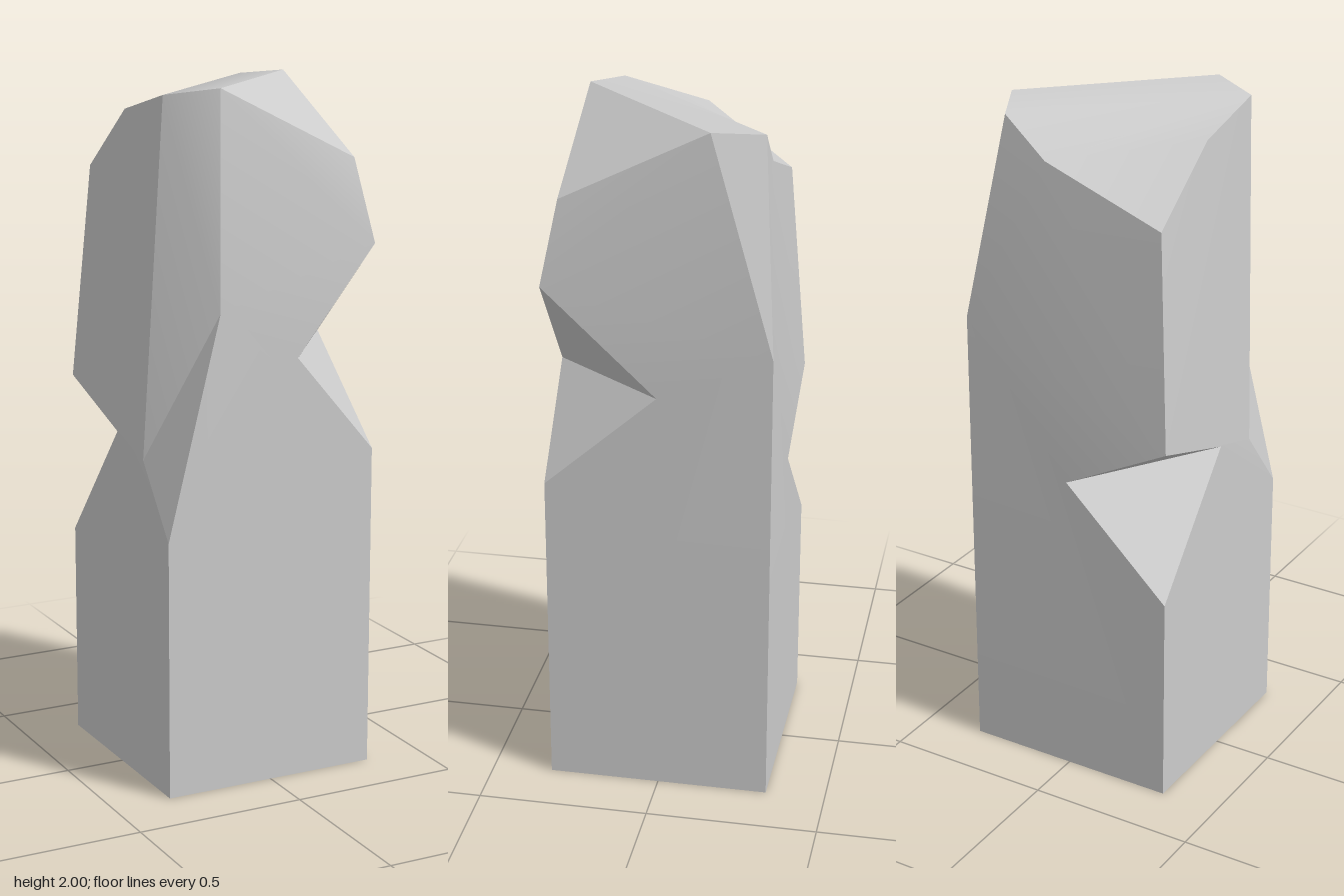
import * as THREE from 'three';
import { mergeVertices } from 'three/addons/utils/BufferGeometryUtils.js';

const W = 0.325; // half width of the post
const T = 0.28;  // half width of the tapered top

// Named corners of the cut post
const P = {
  // base
  b1: [W, 0, W], b2: [W, 0, -W], b3: [-W, 0, -W], b4: [-W, 0, W],
  // top outline
  A: [-0.14, 2, T], B: [T, 2, -0.14], C: [0.21, 1.982, -T], D: [0.085, 1.87, -T],
  E: [-T, 1.736, -T], F: [-T, 1.922, -0.036], G: [-T, 1.982, 0.21], S: [T, 1.79, T],
  // shoulders
  R: [W, 1.38, -W], K: [-0.163, 1.39, W], H: [-W, 0.957, 0.163], J: [-W, 0.755, W],
  // front corner notch
  n1: [W, 1.55, W], n2: [0.08, 1.243, W], n3: [W, 1.243, 0], n4: [W, 0.955, W],
  // back corner notch
  m1: [-W, 1.108, -W], m2: [0, 0.941, -W], m3: [-W, 1.004, -0.009], m4: [-W, 0.634, -W],
};

// name, outward direction, polygons (space separated corner names)
const FACES = [
  ['frontFace', [0, 0, 1], ['A S n1', 'A n1 K', 'n1 n2 n4 b1 b4 J K']],
  ['rightFace', [1, 0, 0], ['S n1 B', 'n1 R B', 'n1 n3 n4 b1 b2 R']],
  ['backFace', [0, 0, -1], ['E D m1', 'D R m1', 'D C R', 'R b2 b3 m4 m2 m1']],
  ['leftFace', [-1, 0, 0], ['E F m1', 'F G m1', 'G H m1', 'm1 m3 m4 b3 b4 J H']],
  ['topFace', [0, 1, 0], ['A B C', 'A C G', 'G C D', 'G D F', 'F D E']],
  ['topCornerCut', [1, 1, 1], ['A S B']],
  ['backCornerCut', [1, 0.3, -1], ['C B R']],
  ['sideChamfer', [-1, 0.2, 1], ['A K H G']],
  ['lowerChamfer', [-1, 0.5, 1], ['K J H']],
  ['frontNotchRoof', [0.3, -1, 0.3], ['n1 n2 n3']],
  ['frontNotchFloor', [0.3, 1, 0.3], ['n4 n2 n3']],
  ['backNotchRoof', [-0.3, -1, -0.3], ['m1 m2 m3']],
  ['backNotchFloor', [-0.3, 1, -0.3], ['m4 m2 m3']],
];

// Triangulates the polygons of one face, turned outward and smooth within the face
function faceGeometry(direction, polygons) {
  const n = new THREE.Vector3(...direction).normalize();
  const u = new THREE.Vector3(n.y, n.z, n.x).cross(n);
  if (u.lengthSq() < 1e-6) u.set(1, 0, 0).cross(n);
  if (u.lengthSq() < 1e-6) u.set(0, 1, 0).cross(n);
  u.normalize();
  const v = n.clone().cross(u);
  const positions = [];
  for (const polygon of polygons) {
    let pts = polygon.split(' ').map((k) => new THREE.Vector3(...P[k]));
    let flat = pts.map((p) => new THREE.Vector2(p.dot(u), p.dot(v)));
    if (THREE.ShapeUtils.isClockWise(flat)) {
      pts.reverse();
      flat.reverse();
    }
    const tris = pts.length === 3 ? [[0, 1, 2]] : THREE.ShapeUtils.triangulateShape(flat, []);
    for (const tri of tris) {
      const [a, b, c] = tri.map((i) => pts[i]);
      const normal = b.clone().sub(a).cross(c.clone().sub(a));
      const order = normal.dot(n) >= 0 ? [a, b, c] : [a, c, b];
      for (const p of order) positions.push(p.x, p.y, p.z);
    }
  }
  const raw = new THREE.BufferGeometry();
  raw.setAttribute('position', new THREE.Float32BufferAttribute(positions, 3));
  const geometry = mergeVertices(raw);
  geometry.computeVertexNormals();
  return geometry;
}

export function createModel() {
  const group = new THREE.Group();
  group.name = 'carvedPost';
  // The shell is open underneath
  const material = new THREE.MeshStandardMaterial({ color: 0xcccccc, side: THREE.DoubleSide });
  for (const [name, direction, polygons] of FACES) {
    const mesh = new THREE.Mesh(faceGeometry(direction, polygons), material);
    mesh.name = name;
    group.add(mesh);
  }
  return group;
}
